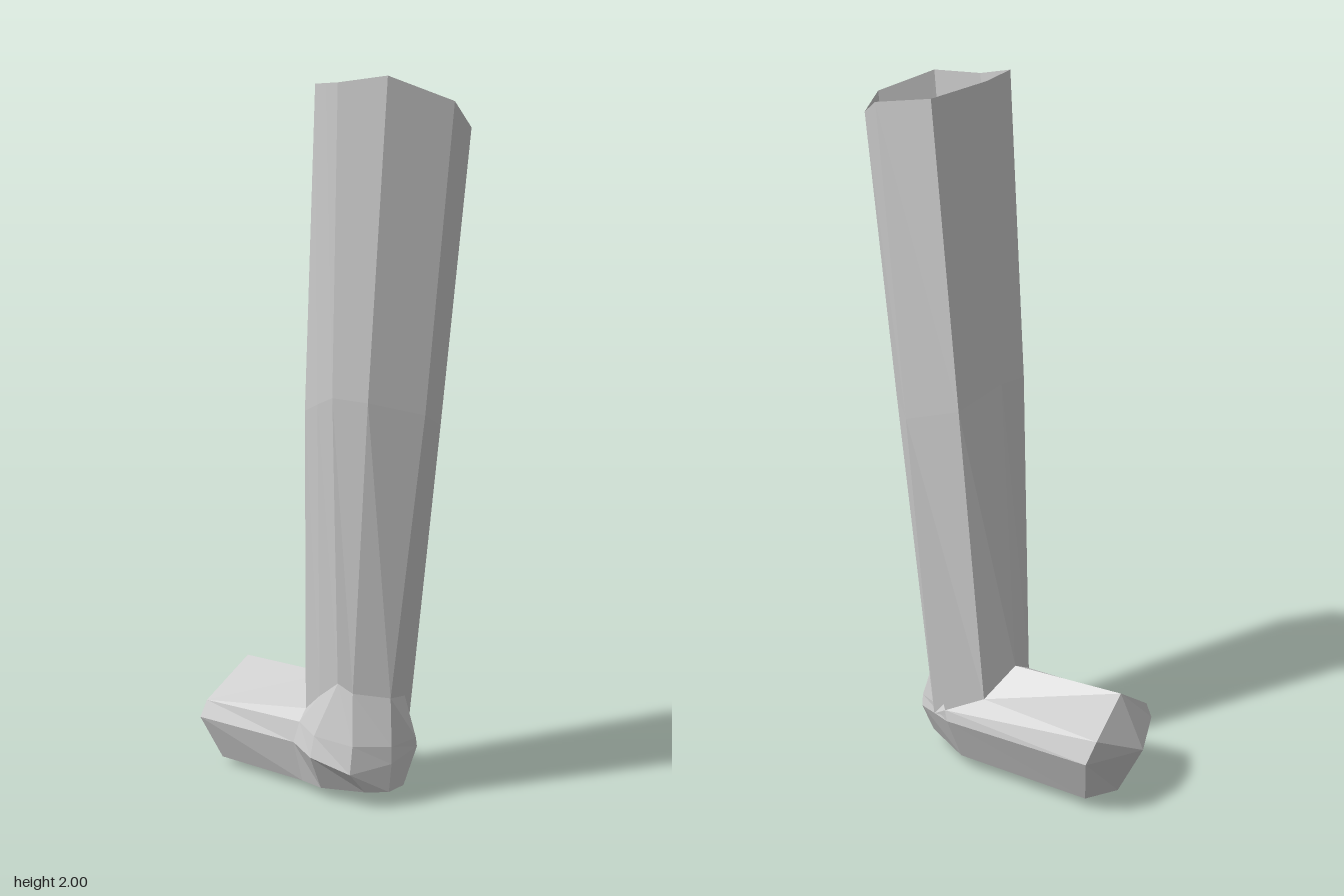
import * as THREE from 'three';

// Every ring has nine corners, starting at the heel side (+z) and turning through +x to the toe (-z).
const rim = [
  [-0.04, 1.94, 0.485], [0.12, 1.885, 0.4], [0.22, 1.915, 0.275], [0.21, 1.925, 0.09], [0.035, 1.97, 0.035],
  [-0.165, 2, 0.1], [-0.195, 1.995, 0.175], [-0.225, 1.99, 0.25], [-0.185, 2, 0.39],
];
const ankle = [
  [-0.02, 0.32, 0.25], [0.12, 0.28, 0.17], [0.2, 0.17, 0.11], [0.145, 0.23, -0.03], [0.045, 0.31, -0.07],
  [-0.095, 0.245, -0.02], [-0.105, 0.3, 0.05], [-0.11, 0.355, 0.13], [-0.09, 0.33, 0.17],
];
const upper = [
  [-0.02, 0.18, 0.255], [0.11, 0.17, 0.225], [0.2, 0.19, 0.07], [0.2, 0.23, -0.45], [0.02, 0.3, -0.415],
  [-0.165, 0.2, -0.39], [-0.12, 0.21, -0.02], [-0.155, 0.2, 0.08], [-0.12, 0.19, 0.2],
];
const widest = [
  [-0.02, 0.13, 0.255], [0.12, 0.14, 0.22], [0.205, 0.16, 0.06], [0.222, 0.165, -0.43], [0.02, 0.15, -0.49],
  [-0.187, 0.15, -0.395], [-0.135, 0.15, -0.03], [-0.17, 0.14, 0.08], [-0.13, 0.11, 0.2],
];
const soleEdge = [
  [-0.02, 0.045, 0.245], [0.06, 0.04, 0.225], [0.15, 0.035, 0.05], [0.16, 0.03, -0.39], [0.02, 0.005, -0.41],
  [-0.13, 0.02, -0.36], [-0.1, 0.025, -0.03], [-0.11, 0.03, 0.06], [-0.08, 0.05, 0.21],
];
const soleCentre = [[0.01, 0, -0.1]];

// Skin a stack of rings from top to bottom; a one-point ring closes the end.
function loft(name, rings) {
  const position = [];
  for (let i = 0; i < rings.length - 1; i++) {
    const top = rings[i], low = rings[i + 1], n = top.length;
    for (let j = 0; j < n; j++) {
      const k = (j + 1) % n;
      if (low.length === 1) position.push(...top[j], ...low[0], ...top[k]);
      else position.push(...top[j], ...low[j], ...low[k], ...top[j], ...low[k], ...top[k]);
    }
  }
  const geometry = new THREE.BufferGeometry();
  geometry.setAttribute('position', new THREE.Float32BufferAttribute(position, 3));
  geometry.computeVertexNormals();
  const mesh = new THREE.Mesh(geometry, new THREE.MeshStandardMaterial({
    color: 0xcccccc, flatShading: true, side: THREE.DoubleSide,
  }));
  mesh.name = name;
  return mesh;
}

export function createModel() {
  const group = new THREE.Group();
  group.name = 'boot';

  // Slight calf bulge halfway up, on the -x and +z sides
  const calf = rim.map((p, i) => {
    const [x, y, z] = p.map((v, axis) => (v + ankle[i][axis]) / 2);
    return [x < -0.1 ? x - 0.02 : x, y, z > 0.25 ? z + 0.015 : z];
  });

  group.add(loft('shaft', [rim, calf, ankle]));
  group.add(loft('foot', [ankle, upper, widest, soleEdge]));
  group.add(loft('sole', [soleEdge, soleCentre]));
  return group;
}
